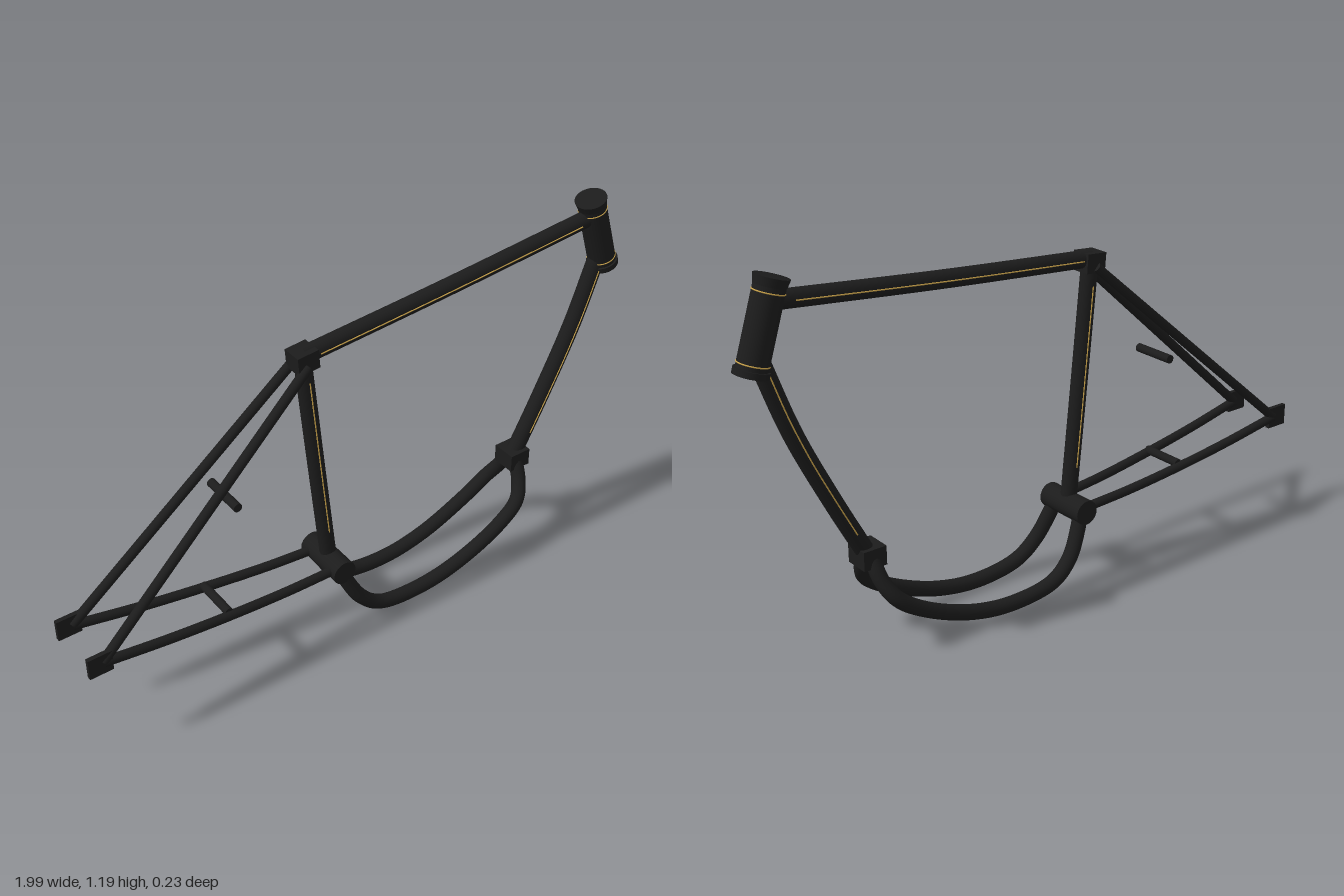
import * as THREE from 'three';

const V = (x, y, z = 0) => new THREE.Vector3(x, y, z);

export function createModel() {
  const black = new THREE.MeshStandardMaterial({ color: 0x1c1c1c });
  black.name = 'satin black';
  const gold = new THREE.MeshStandardMaterial({ color: 0xc9a24a });
  gold.name = 'gold pinstripe';

  const frame = new THREE.Group();
  frame.name = 'bicycleFrame';

  const add = (name, geometry, material = black, parent = frame) => {
    const mesh = new THREE.Mesh(geometry, material);
    mesh.name = name;
    parent.add(mesh);
    return mesh;
  };
  // Smooth tube through points
  const tube = (name, points, radius, material = black) => {
    const curve = new THREE.CatmullRomCurve3(points, false, 'centripetal');
    return add(name, new THREE.TubeGeometry(curve, points.length * 8, radius, 16), material);
  };
  // Straight capped rod between two points
  const rod = (name, a, b, radius) => {
    const dir = b.clone().sub(a);
    const mesh = add(name, new THREE.CylinderGeometry(radius, radius, dir.length(), 20));
    mesh.position.copy(a).lerp(b, 0.5);
    mesh.quaternion.setFromUnitVectors(V(0, 1, 0), dir.normalize());
    return mesh;
  };
  const box = (name, size, position, tilt = 0) => {
    const mesh = add(name, new THREE.BoxGeometry(...size));
    mesh.position.copy(position);
    mesh.rotation.z = tilt;
    return mesh;
  };

  // Main tubes
  const topPath = [V(-0.2, 1.02), V(0.33, 1.06), V(0.88, 1.11)];
  const seatPath = [V(-0.2, 1.0), V(-0.163, 0.625), V(-0.125, 0.25)];
  const downPath = [V(0.615, 0.29), V(0.725, 0.5), V(0.835, 0.73), V(0.92, 0.96)];
  tube('topTube', topPath, 0.027);
  tube('seatTube', seatPath, 0.026);
  tube('downTube', downPath, 0.028);

  // Pinstripes along both sides of the main tubes
  const stripe = (name, path, radius, from, to) => {
    const curve = new THREE.CatmullRomCurve3(path, false, 'centripetal');
    for (const side of [1, -1]) {
      const points = [0, 1, 2, 3, 4].map((i) =>
        curve.getPointAt(from + ((to - from) * i) / 4).add(V(0, 0, side * radius)));
      tube(name, points, 0.002, gold);
    }
  };
  stripe('topTubeStripe', topPath, 0.027, 0.04, 0.94);
  stripe('seatTubeStripe', seatPath, 0.026, 0.08, 0.85);
  stripe('downTubeStripe', downPath, 0.028, 0.15, 0.95);

  // Head tube with flared cups and gold rings, tilted as one group
  const head = new THREE.Group();
  head.name = 'headTube';
  head.position.set(0.905, 1.047, 0);
  head.rotation.z = 0.31;
  frame.add(head);
  add('headTubeBody', new THREE.CylinderGeometry(0.044, 0.044, 0.25, 32), black, head);
  add('upperCup', new THREE.CylinderGeometry(0.05, 0.045, 0.025, 32), black, head).position.y = 0.12;
  add('lowerCup', new THREE.CylinderGeometry(0.05, 0.05, 0.018, 32), black, head).position.y = -0.123;
  for (const y of [0.092, -0.1]) {
    const ring = add('headRing', new THREE.TorusGeometry(0.044, 0.002, 8, 40), gold, head);
    ring.rotation.x = Math.PI / 2;
    ring.position.y = y;
  }

  // Lugs and bottom bracket
  box('seatLug', [0.07, 0.06, 0.066], V(-0.2, 1.012), 0.08);
  box('cradleLug', [0.076, 0.06, 0.082], V(0.62, 0.303));
  rod('bottomBracket', V(-0.125, 0.235, -0.09), V(-0.125, 0.235, 0.09), 0.04);

  // Paired parts: stays, dropouts and engine cradle
  for (const s of [1, -1]) {
    rod('seatStay', V(-0.2, 1.0, s * 0.03), V(-0.95, 0.345, s * 0.091), 0.015);
    tube('chainStay', [
      V(-0.95, 0.342, s * 0.091), V(-0.74, 0.303, s * 0.083),
      V(-0.53, 0.272, s * 0.075), V(-0.32, 0.248, s * 0.066), V(-0.125, 0.235, s * 0.058),
    ], 0.015);
    box('dropout', [0.075, 0.07, 0.014], V(-0.9625, 0.345, s * 0.094));
    tube('cradleTube', [
      V(-0.125, 0.235, s * 0.06), V(-0.105, 0.18, s * 0.07), V(-0.06, 0.1, s * 0.085),
      V(0.01, 0.045, s * 0.092), V(0.17, 0.024, s * 0.092), V(0.33, 0.05, s * 0.092),
      V(0.5, 0.122, s * 0.09), V(0.58, 0.18, s * 0.08), V(0.61, 0.235, s * 0.05),
      V(0.618, 0.295, s * 0.018),
    ], 0.024);
  }

  // Cross braces
  rod('seatStayBrace', V(-0.478, 0.655, -0.072), V(-0.478, 0.655, 0.072), 0.014);
  rod('chainStayBrace', V(-0.53, 0.283, -0.072), V(-0.53, 0.283, 0.072), 0.014);

  return frame;
}
